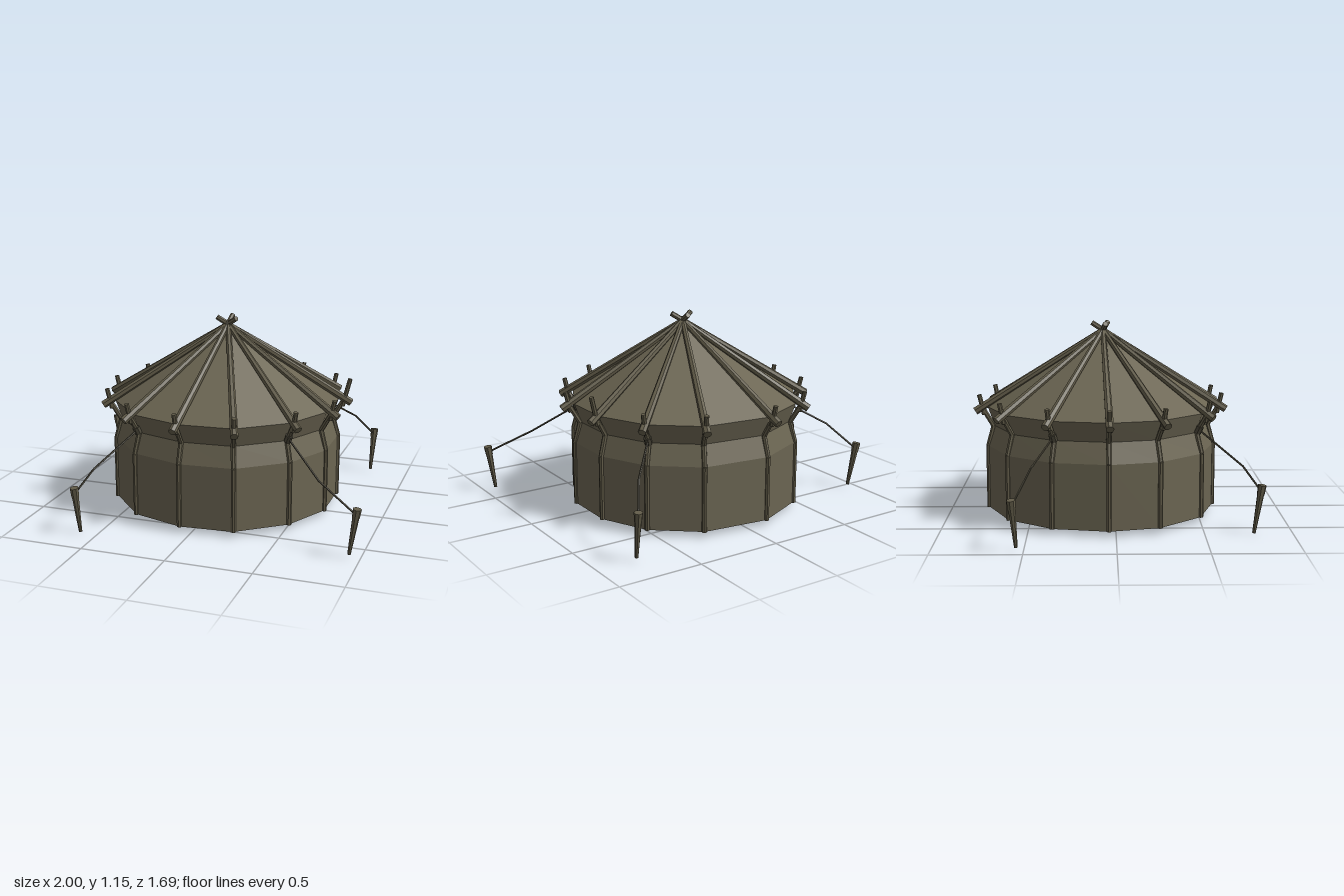
import * as THREE from 'three';

const canvas = new THREE.MeshStandardMaterial({ color: 0x6b6552 });
canvas.name = 'olive canvas';
canvas.side = THREE.DoubleSide;
const wood = new THREE.MeshStandardMaterial({ color: 0x625c49 });
wood.name = 'weathered wood';
const rope = new THREE.MeshStandardMaterial({ color: 0x4c483a });
rope.name = 'dark rope';

const V = (x, y, z) => new THREE.Vector3(x, y, z);
const CENTRE = V(-0.005, 0, -0.08);
const APEX = V(0, 1.08, -0.07);

// Eave corners (x, z), one per rafter
const CORNERS = [
  [-0.12, -0.76], [0.28, -0.71], [0.53, -0.51], [0.66, -0.23], [0.66, 0.08],
  [0.52, 0.36], [0.25, 0.57], [-0.07, 0.595], [-0.38, 0.5], [-0.61, 0.25],
  [-0.68, -0.04], [-0.62, -0.36], [-0.43, -0.62],
];

// Point on the radial line through corner i, moved outward by d, at height y
function at(i, d, y) {
  const [x, z] = CORNERS[i % CORNERS.length];
  const out = V(x, 0, z).sub(CENTRE).normalize();
  return V(x + out.x * d, y, z + out.z * d);
}

function addMesh(group, name, geometry, material) {
  const flat = geometry.index ? geometry.toNonIndexed() : geometry;
  flat.computeVertexNormals();
  const mesh = new THREE.Mesh(flat, material);
  mesh.name = name;
  group.add(mesh);
  return mesh;
}

// Tapered pole between two points
function pole(group, name, a, b, ra, rb, material = wood, sides = 7) {
  const dir = b.clone().sub(a);
  const geometry = new THREE.CylinderGeometry(rb, ra, dir.length(), sides);
  const mesh = addMesh(group, name, geometry, material);
  mesh.position.copy(a).add(b).multiplyScalar(0.5);
  mesh.quaternion.setFromUnitVectors(V(0, 1, 0), dir.normalize());
}

// Chain of poles through several points
function chain(group, name, points, radius, material, sides) {
  for (let k = 0; k + 1 < points.length; k++) {
    pole(group, name, points[k], points[k + 1], radius, radius, material, sides);
  }
}

function surface(points) {
  return new THREE.BufferGeometry().setFromPoints(points);
}

export function createModel() {
  const model = new THREE.Group();
  model.name = 'roundTent';
  const n = CORNERS.length;

  // Canvas wall pinched below the eave, and the cone roof (corners run clockwise from above)
  const levels = [[0, 0.03], [0, 0.41], [-0.04, 0.53], [0, 0.645]];
  const wall = [], roof = [];
  for (let i = 0; i < n; i++) {
    for (let k = 0; k + 1 < levels.length; k++) {
      const a = at(i, ...levels[k]), b = at(i + 1, ...levels[k]);
      const c = at(i + 1, ...levels[k + 1]), d = at(i, ...levels[k + 1]);
      wall.push(a, c, b, a, d, c);
    }
    roof.push(at(i, 0, 0.645), APEX, at(i + 1, 0, 0.645));
  }
  addMesh(model, 'canvasWall', surface(wall), canvas);
  addMesh(model, 'canvasRoof', surface(roof), canvas);

  // Wall posts bent in at the pinch, with tips rising past the eave
  const posts = new THREE.Group();
  posts.name = 'wallPosts';
  const rafters = new THREE.Group();
  rafters.name = 'rafters';
  model.add(posts, rafters);
  for (let i = 0; i < n; i++) {
    chain(posts, 'wallPost', [at(i, 0, 0.03), at(i, 0, 0.41), at(i, -0.033, 0.53), at(i, 0.025, 0.63)], 0.015);
    const rise = i === 3 ? 0.05 : 0;
    pole(posts, 'postTip', at(i, 0.022, 0.6), at(i, 0.05 + rise * 0.3, 0.72 + rise), 0.015, 0.014);

    // Rafter resting on the roof; some cross beyond the peak
    const foot = at(i, 0.075, 0.622);
    const top = V(APEX.x, 1.095, APEX.z);
    const over = i % 4 === 3 ? 0.08 : 0.02;
    top.addScaledVector(top.clone().sub(foot).normalize(), over);
    pole(rafters, 'rafter', foot, top, 0.024, 0.016);
  }

  // Guy ropes with tapered ground stakes: corner, stake top, stake foot, rope middle
  const lines = [
    [11, V(-0.98, 0.29, -0.56), V(-0.937, 0.02, -0.54), V(-0.81, 0.42, -0.465)],
    [2, V(0.775, 0.29, -0.82), V(0.765, 0.02, -0.78), V(0.68, 0.41, -0.67)],
    [5, V(0.975, 0.29, 0.64), V(0.937, 0.02, 0.635), V(0.73, 0.38, 0.52)],
    [8, V(-0.62, 0.28, 0.82), V(-0.61, 0, 0.78), V(-0.54, 0.37, 0.72)],
  ];
  for (const [i, top, foot, middle] of lines) {
    const guy = new THREE.Group();
    guy.name = 'guyLine';
    model.add(guy);
    const neck = top.clone().lerp(foot, 0.2);
    pole(guy, 'stake', foot, neck, 0.01, 0.02);
    pole(guy, 'stakeHead', neck, top, 0.022, 0.025);
    const tie = top.clone().lerp(foot, 0.13);
    chain(guy, 'rope', [tie, middle, at(i, -0.02, 0.55)], 0.006, rope, 5);
    // Rope lashing around the post
    pole(guy, 'lashing', at(i, -0.03, 0.53), at(i, -0.01, 0.57), 0.022, 0.022, rope);
  }

  return model;
}
